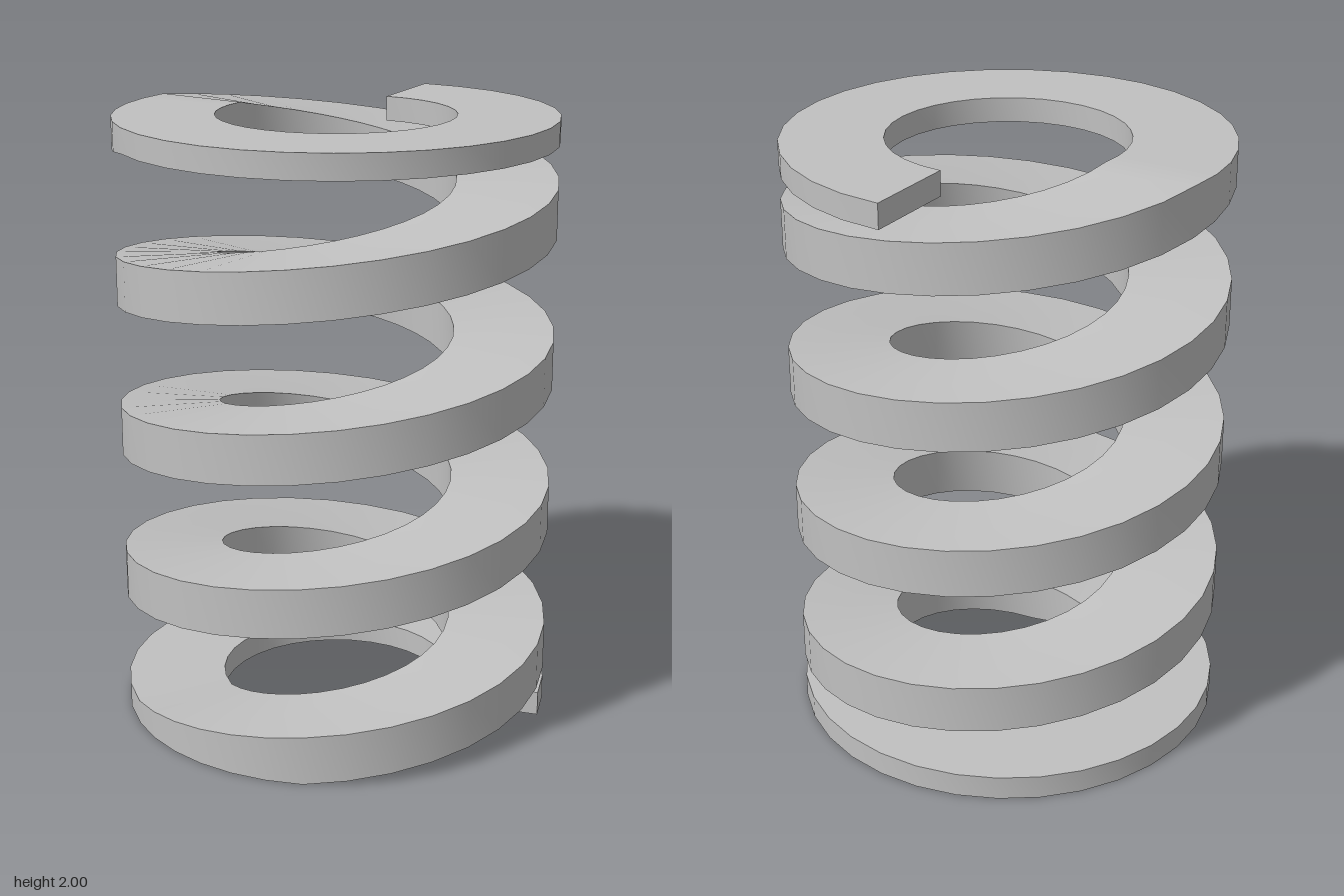
import * as THREE from 'three';
import { toCreasedNormals } from 'three/addons/utils/BufferGeometryUtils.js';

const HEIGHT = 2, PITCH = 0.5, TURNS = HEIGHT / PITCH;
const R_IN = 0.386, R_OUT = 0.713;   // coil radii
const HALF = 0.081;                  // half the wire height
const CLOSED = 0.614;                // turns of flat closed coil at each end
const PER_TURN = 32;

// Wire section at turn t: a rectangle, ground flat at both ends of the spring
function section(t) {
  const mid = THREE.MathUtils.clamp(t * PITCH, 0, HEIGHT);
  const low = Math.max(0, mid - HALF), high = Math.min(HEIGHT, mid + HALF);
  const a = t * Math.PI * 2, x = -Math.cos(a), z = Math.sin(a);
  return [[R_IN, low], [R_OUT, low], [R_OUT, high], [R_IN, high]]
    .flatMap(([r, y]) => [x * r, y, z * r]);
}

// Stations along the wire, including the places where the grinding starts
function stations() {
  const ground = HALF / PITCH;
  const breaks = [-CLOSED, 0, ground, TURNS - ground, TURNS, TURNS + CLOSED];
  const list = [breaks[0]];
  for (let i = 1; i < breaks.length; i++) {
    const from = breaks[i - 1], span = breaks[i] - from;
    const n = Math.ceil(span * PER_TURN);
    for (let k = 1; k <= n; k++) list.push(from + (span * k) / n);
  }
  return list;
}

function coilGeometry() {
  const ts = stations();
  const index = [];
  const quad = (a, b, c, d) => index.push(a, b, c, a, c, d);

  // Four sides of the wire
  for (let i = 0; i < ts.length - 1; i++) {
    for (let k = 0; k < 4; k++) {
      const a = i * 4 + k, b = i * 4 + (k + 1) % 4;
      quad(b, a, a + 4, b + 4);
    }
  }
  // Cut ends
  const e = (ts.length - 1) * 4;
  quad(0, 1, 2, 3);
  quad(e + 3, e + 2, e + 1, e);

  const geometry = new THREE.BufferGeometry();
  geometry.setAttribute('position', new THREE.Float32BufferAttribute(ts.flatMap(section), 3));
  geometry.setIndex(index);
  return toCreasedNormals(geometry, 0.5);
}

export function createModel() {
  const steel = new THREE.MeshStandardMaterial({ color: 0xc0c0c0 });
  steel.name = 'steel grey';

  const coil = new THREE.Mesh(coilGeometry(), steel);
  coil.name = 'springCoil';

  const model = new THREE.Group();
  model.name = 'compressionSpring';
  model.add(coil);
  return model;
}
